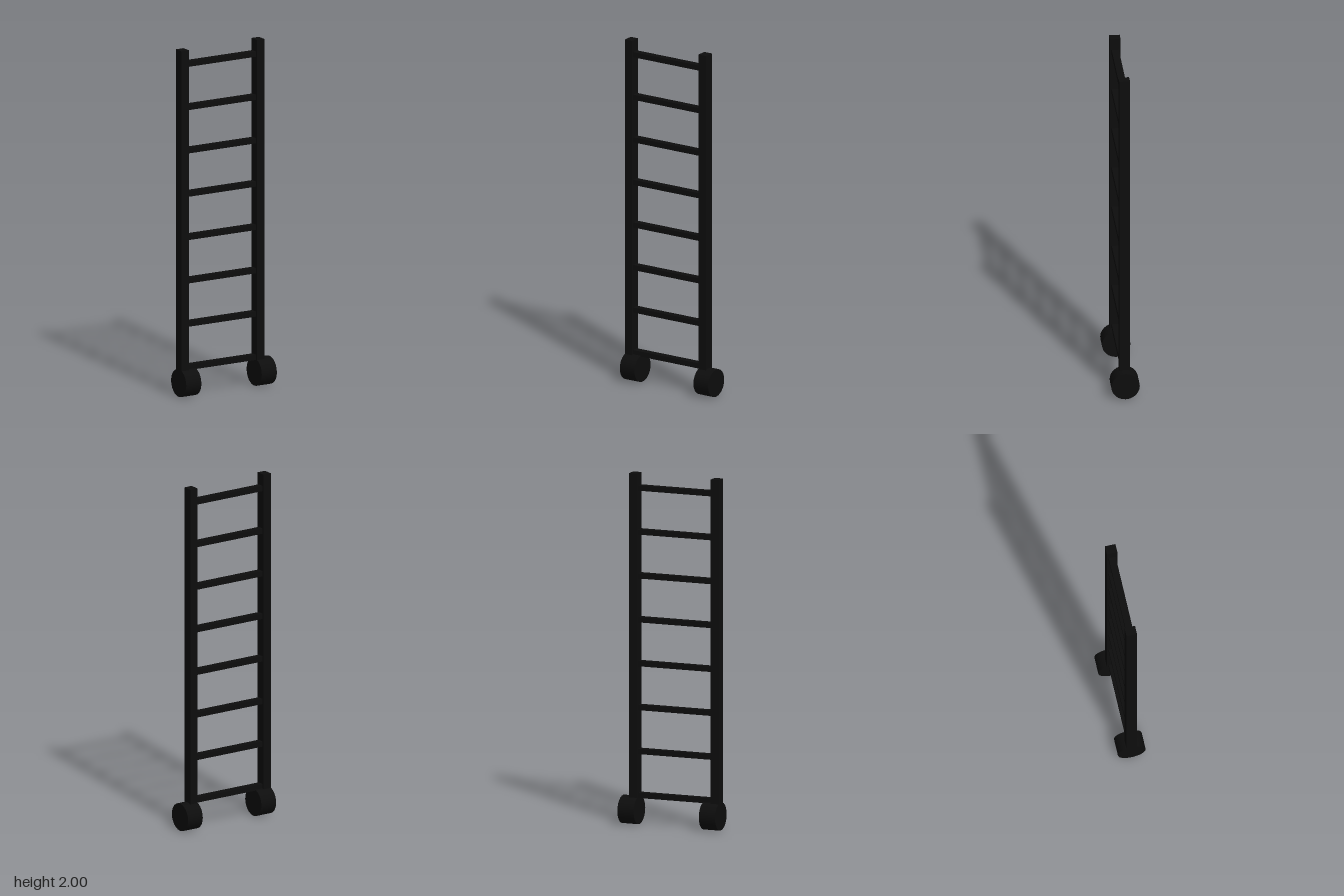
import * as THREE from 'three';

export function createModel() {
  const model = new THREE.Group();
  const black = new THREE.MeshStandardMaterial({ color: 0x0d0d0d });
  black.name = 'black';

  function add(name, geometry, x, y) {
    const mesh = new THREE.Mesh(geometry, black);
    mesh.name = name;
    mesh.position.set(x, y, 0);
    model.add(mesh);
    return mesh;
  }

  // Upright rails, ending inside the tops of the wheels
  const railBottom = 0.14, railTop = 2;
  const rail = new THREE.BoxGeometry(0.05, railTop - railBottom, 0.06);
  const railY = (railTop + railBottom) / 2;
  add('rightRail', rail, -0.275, railY);
  add('leftRail', rail, 0.225, railY);

  // Evenly spaced rungs between the rails
  const rung = new THREE.BoxGeometry(0.46, 0.03, 0.04);
  for (let i = 0; i < 8; i++) add('rung' + (i + 1), rung, -0.025, 0.167 + i * 0.25);

  // Broad wheels with their axles along x
  const wheel = new THREE.CylinderGeometry(0.08, 0.08, 0.1, 24).rotateZ(Math.PI / 2);
  add('rightWheel', wheel, -0.25, 0.08);
  add('leftWheel', wheel, 0.25, 0.08);

  return model;
}
